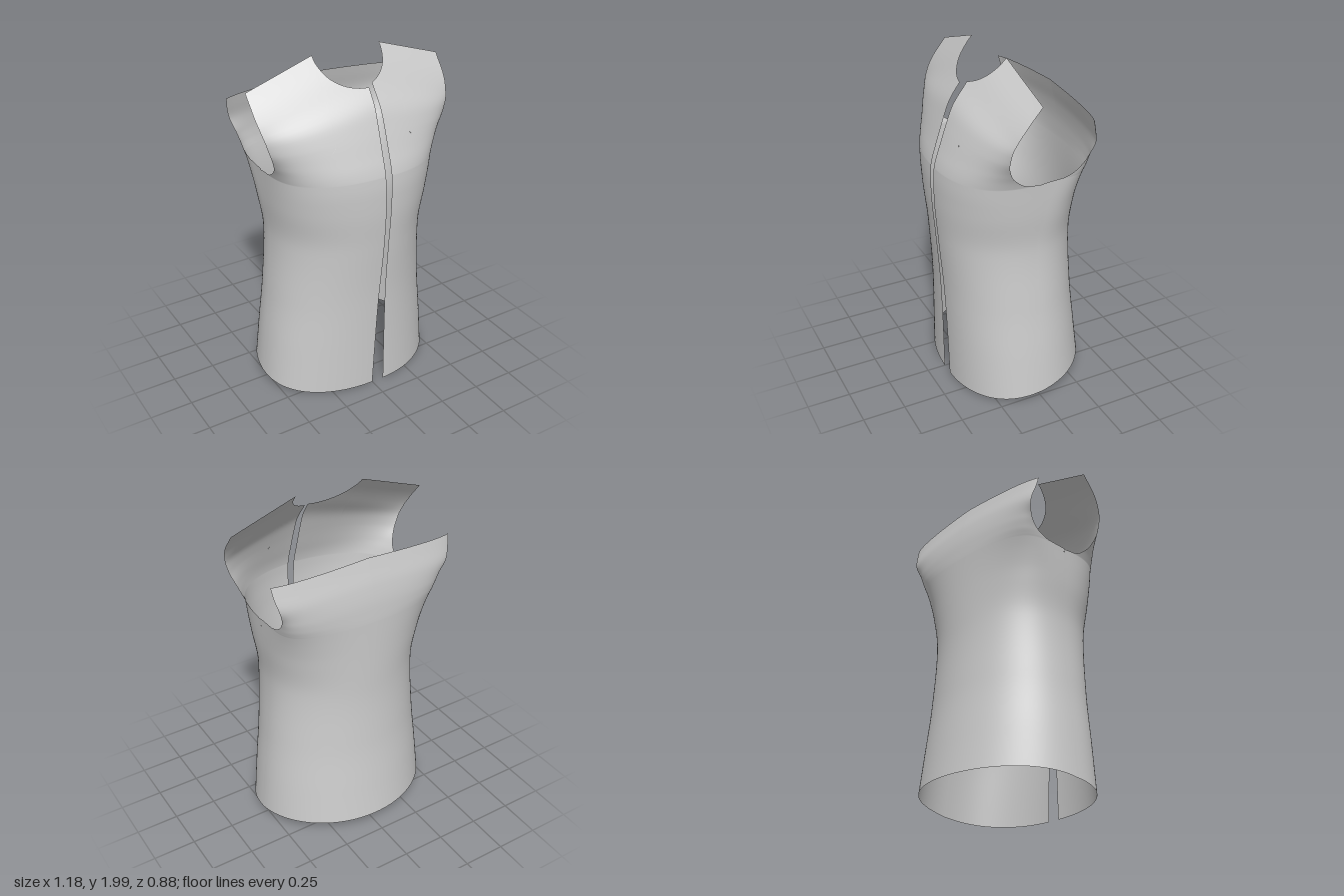
import * as THREE from 'three';

// Cross-sections by height: [height, half width, edge depth, centre depth, roundness]
// Below the armhole (1.39) the panel reaches the side seam, so its edge depth is 0.
const FRONT = [
  [0, 0.535, 0, 0.388, 0.85], [0.3, 0.507, 0, 0.393, 0.87], [0.6, 0.475, 0, 0.402, 0.9],
  [0.97, 0.45, 0, 0.428, 0.9], [1.2, 0.472, 0, 0.443, 0.77], [1.3, 0.48, 0, 0.444, 0.7],
  [1.39, 0.486, 0, 0.438, 0.64], [1.4, 0.487, 0.09, 0.436, 0.633], [1.44, 0.494, 0.15, 0.425, 0.61],
  [1.5, 0.508, 0.195, 0.403, 0.59], [1.62, 0.542, 0.224, 0.357, 0.58], [1.7, 0.56, 0.222, 0.321, 0.58],
  [1.8, 0.578, 0.197, 0.242, 0.58], [1.9, 0.59, 0.148, 0.165, 0.58], [2.0, 0.592, 0.072, 0.076, 0.58],
];
const BACK = [
  [0, 0.535, 0, 0.45, 1], [0.3, 0.507, 0, 0.412, 1], [0.6, 0.475, 0, 0.378, 1],
  [0.97, 0.45, 0, 0.358, 0.95], [1.2, 0.472, 0, 0.358, 0.72], [1.3, 0.48, 0, 0.358, 0.54],
  [1.39, 0.486, 0, 0.358, 0.36], [1.4, 0.487, 0.13, 0.3578, 0.34], [1.44, 0.488, 0.21, 0.356, 0.27],
  [1.5, 0.495, 0.255, 0.352, 0.22], [1.6, 0.522, 0.285, 0.337, 0.2], [1.7, 0.545, 0.264, 0.311, 0.2],
  [1.75, 0.55, 0.252, 0.298, 0.2],
];
// Front opening edges: [height, x]
const LEFT_EDGE = [[0, 0.075], [0.4, 0.068], [0.9, 0.06], [1.5, 0.063], [2, 0.06]];
const RIGHT_EDGE = [[0, 0], [0.5, -0.018], [1, -0.034], [1.5, -0.025], [2, -0.03]];
const CENTRE_BACK = [[0, 0], [2, 0]];

const ARMHOLE = 1.39;
const ROWS_LOW = 36, ROWS_HIGH = 30, NECK_COLS = 16, SIDE_COLS = 40;

// Smooth-tangent interpolation through a table, limited so it never overshoots
function sample(table, y, col) {
  let i = 0;
  while (i < table.length - 2 && y > table[i + 1][0]) i++;
  const slope = (j) => (j < 0 || j > table.length - 2) ? null
    : (table[j + 1][col] - table[j][col]) / (table[j + 1][0] - table[j][0]);
  const tangent = (a, b) => a === null ? b : b === null ? a : a * b <= 0 ? 0 : 2 * a * b / (a + b);
  const s = slope(i), h = table[i + 1][0] - table[i][0];
  const m0 = tangent(slope(i - 1), s) * h, m1 = tangent(s, slope(i + 1)) * h;
  const t = THREE.MathUtils.clamp((y - table[i][0]) / h, 0, 1), t2 = t * t, t3 = t2 * t;
  return table[i][col] * (2 * t3 - 3 * t2 + 1) + m0 * (t3 - 2 * t2 + t)
    + table[i + 1][col] * (3 * t2 - 2 * t3) + m1 * (t3 - t2);
}

// Point on a half panel: u runs from the centre line to the outer edge
function panelPoint(p, u, level) {
  const [w, ze, zc, q] = [1, 2, 3, 4].map((c) => sample(p.table, level, c));
  const end = Math.acos(Math.min(1, Math.pow(ze / zc, 1 / q)));
  // Near the underarm only the outer columns bend to follow the armhole
  const bend = 1 + 4 * (1 - THREE.MathUtils.clamp((level - ARMHOLE) / 0.2, 0, 1));
  const a = u * Math.PI / 2 - (Math.PI / 2 - end) * Math.pow(u, bend);
  const x0 = sample(p.edge, level, 1);
  const x = x0 + (w - x0) * Math.sin(a) / Math.sin(end);
  const z = zc * Math.pow(Math.max(0, Math.cos(a)), q);
  const y = level - p.slope(level) * (x - p.pivot);
  return [p.side * x, y, p.facing * z];
}

function buildPanel(p) {
  const cols = NECK_COLS + SIDE_COLS, rows = ROWS_LOW + ROWS_HIGH;
  const pos = [], index = [];
  for (let i = 0; i <= cols; i++) {
    const { u, top } = p.column(i);
    const hem = p.hem(u);
    for (let j = 0; j <= rows; j++) {
      // Rows crowd together just above the underarm
      const level = j <= ROWS_LOW ? THREE.MathUtils.lerp(hem, ARMHOLE, j / ROWS_LOW)
        : THREE.MathUtils.lerp(ARMHOLE, top, ((j - ROWS_LOW) / ROWS_HIGH) ** 1.6);
      pos.push(...panelPoint(p, u, level));
    }
  }
  for (let i = 0; i < cols; i++) {
    for (let j = 0; j < rows; j++) {
      const a = i * (rows + 1) + j, b = a + rows + 1;
      if (p.side * p.facing > 0) index.push(a, b, b + 1, a, b + 1, a + 1);
      else index.push(a, b + 1, b, a, a + 1, b + 1);
    }
  }
  const g = new THREE.BufferGeometry();
  g.setAttribute('position', new THREE.Float32BufferAttribute(pos, 3));
  g.setIndex(index);
  g.computeVertexNormals();
  return g;
}

// Front half: sloping shoulder, with the first columns ending at the round neckline
function frontPanel(side, edge) {
  const slope = (s) => 0.333 * THREE.MathUtils.smoothstep(s, 1.3, 2);
  const x0 = edge[edge.length - 1][1];
  const corner = (0.2 - x0) / (0.592 - x0);
  return {
    side, edge, slope, facing: 1, table: FRONT, pivot: 0.2,
    hem: (u) => 0.008 + 0.047 * u * u,
    column(i) {
      if (i >= NECK_COLS) return { u: corner + (1 - corner) * (i - NECK_COLS) / SIDE_COLS, top: 2 };
      const t = Math.sin(i / NECK_COLS * Math.PI / 2);
      const x = x0 + (0.2 - x0) * t;
      const y = 1.845 + 0.155 * (1 - Math.sqrt(Math.max(0, 1 - (x / 0.2) ** 2)));
      return { u: corner * t, top: y + slope(y) * (x - 0.2) };
    },
  };
}

// Back half: nearly straight top edge
function backPanel(side) {
  return {
    side, edge: CENTRE_BACK, facing: -1, table: BACK, pivot: 0,
    slope: (s) => 0.055 * THREE.MathUtils.smoothstep(s, 1.39, 1.75),
    hem: (u) => 0.09 - 0.035 * u ** 4,
    column: (i) => ({ u: i / (NECK_COLS + SIDE_COLS), top: 1.75 }),
  };
}

export function createModel() {
  const vest = new THREE.Group();
  vest.name = 'sleevelessVest';
  const cloth = new THREE.MeshStandardMaterial({ color: 0xcccccc, side: THREE.DoubleSide });
  const parts = {
    leftFrontPanel: frontPanel(1, LEFT_EDGE),
    rightFrontPanel: frontPanel(-1, RIGHT_EDGE),
    leftBackPanel: backPanel(1),
    rightBackPanel: backPanel(-1),
  };
  for (const [name, part] of Object.entries(parts)) {
    const mesh = new THREE.Mesh(buildPanel(part), cloth);
    mesh.name = name;
    vest.add(mesh);
  }
  return vest;
}
